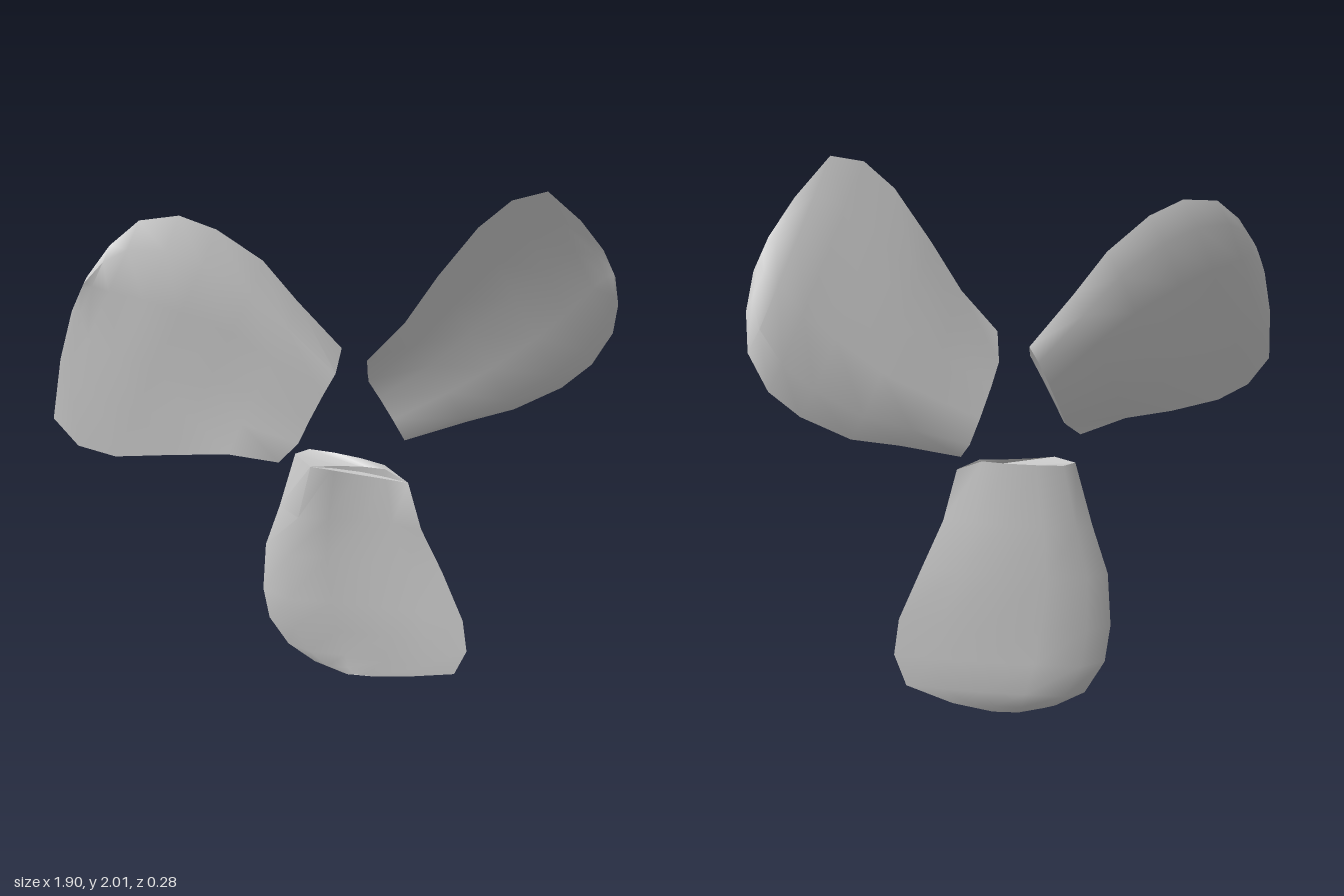
import * as THREE from 'three';
import { toCreasedNormals } from 'three/addons/utils/BufferGeometryUtils.js';

// Hub centre, and the slight vertical stretch shared by all blades
const CX = 0.02, CY = 1.115, STRETCH = 1.12;

// Blade stations, root to tip: y, trailing x, leading x, trailing z, leading z, thickness
const STATIONS = [
  [0.96, -0.17, 0.22, -0.085, 0.065, 0.12],
  [0.73, -0.23, 0.27, -0.10, 0.078, 0.11],
  [0.55, -0.285, 0.35, -0.115, 0.092, 0.105],
  [0.35, -0.30, 0.43, -0.11, 0.128, 0.10],
  [0.21, -0.28, 0.45, -0.11, 0.135, 0.09],
  [0.09, -0.21, 0.41, -0.095, 0.12, 0.07],
  [0.03, -0.11, 0.25, -0.055, 0.055, 0.04],
  [0.0, 0.0, 0.11, -0.015, 0.012, 0.012],
];

// Section: thin leading edge, hollow front face, blunt trailing edge, full back face
function section([y, xl, xr, zl, zr, th], isRoot) {
  const bend = 0.87, steps = [0, 0.2, 0.4, 0.65, bend];
  const zBack = zl - 0.25 * th, zFront = zBack + th;
  const point = (t, zEnd, sag) => {
    const k = t / bend;
    const drop = isRoot ? 0.04 * Math.max(0, 1 - t / 0.2) : 0;
    return [
      THREE.MathUtils.lerp(xr, xl, t),
      y - drop,
      THREE.MathUtils.lerp(zr, zEnd, k) - sag * th * Math.sin(Math.PI * k),
    ];
  };
  return [
    ...steps.map((t) => point(t, zFront, 0.2)),
    [xl, y, zl],
    ...steps.slice(1).reverse().map((t) => point(t, zBack, 0.2)),
  ];
}

function bladeGeometry(angle) {
  const rings = STATIONS.map((s, i) => section(s, i === 0));
  const n = rings[0].length, last = (rings.length - 1) * n;
  const index = [];
  for (let i = 0; i < rings.length - 1; i++) {
    for (let j = 0; j < n; j++) {
      const a = i * n + j, b = i * n + ((j + 1) % n);
      index.push(a, b, b + n, a, b + n, a + n);
    }
  }
  // Root and tip caps
  for (let j = 1; j < n - 1; j++) {
    index.push(0, j + 1, j, last, last + j, last + j + 1);
  }
  const geo = new THREE.BufferGeometry();
  geo.setAttribute('position', new THREE.Float32BufferAttribute(rings.flat(2), 3));
  geo.setIndex(index);
  // Turn the blade about the hub, keeping the vertical stretch
  geo.translate(-CX, -CY, 0);
  geo.scale(1, 1 / STRETCH, 1);
  geo.rotateZ(angle);
  geo.scale(1, STRETCH, 1);
  geo.translate(CX, CY, 0);
  return toCreasedNormals(geo, 0.95);
}

export function createModel() {
  const group = new THREE.Group();
  group.name = 'propellerBlades';
  const material = new THREE.MeshStandardMaterial({ color: 0xcccccc });
  ['lowerBlade', 'upperLeftBlade', 'upperRightBlade'].forEach((name, i) => {
    const blade = new THREE.Mesh(bladeGeometry((i * Math.PI * 2) / 3), material);
    blade.name = name;
    group.add(blade);
  });
  return group;
}
